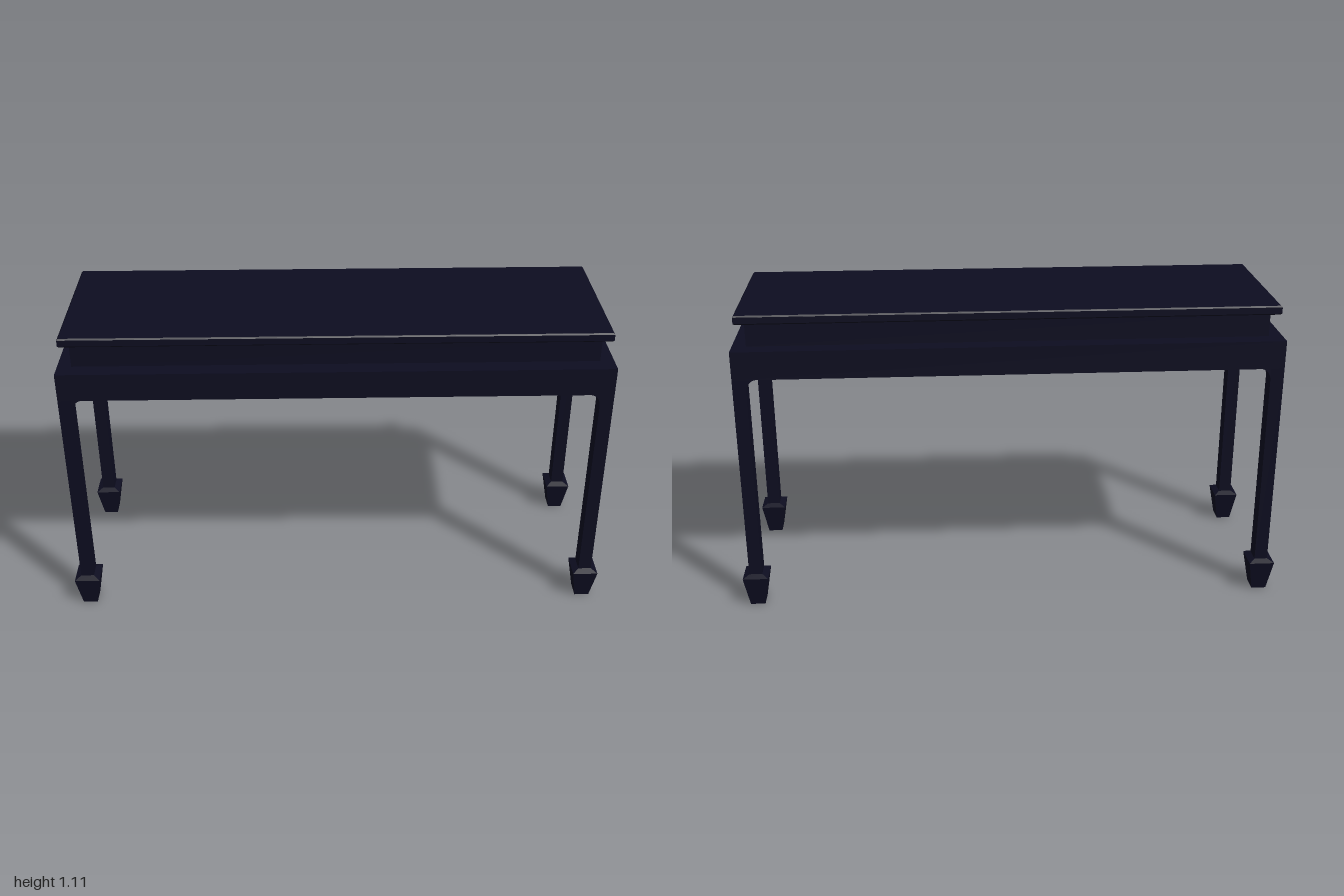
import * as THREE from 'three';

const lacquer = new THREE.MeshStandardMaterial({ color: 0x0d0d20 });
lacquer.name = 'dark navy lacquer';

function add(parent, name, geometry, x = 0, y = 0, z = 0) {
  const mesh = new THREE.Mesh(geometry, lacquer);
  mesh.name = name;
  mesh.position.set(x, y, z);
  parent.add(mesh);
  return mesh;
}

// Box spanning y0..y1
function block(parent, name, w, d, y0, y1, x = 0, z = 0) {
  return add(parent, name, new THREE.BoxGeometry(w, y1 - y0, d), x, (y0 + y1) / 2, z);
}

// Stacked rectangular sections [y, halfX, halfZ], capped at both ends, sharp edged
function loft(sections) {
  const pos = [];
  const rings = sections.map(([y, a, b]) => [[a, y, b], [a, y, -b], [-a, y, -b], [-a, y, b]]);
  const quad = (a, b, c, d) => pos.push(...a, ...b, ...c, ...a, ...c, ...d);
  for (let i = 0; i < rings.length - 1; i++) {
    for (let k = 0; k < 4; k++) {
      const n = (k + 1) % 4;
      quad(rings[i][k], rings[i][n], rings[i + 1][n], rings[i + 1][k]);
    }
  }
  const [b, t] = [rings[0], rings[rings.length - 1]];
  quad(b[3], b[2], b[1], b[0]);
  quad(t[0], t[1], t[2], t[3]);
  const g = new THREE.BufferGeometry();
  g.setAttribute('position', new THREE.Float32BufferAttribute(pos, 3));
  g.computeVertexNormals();
  return g;
}

// Concave corner filler: corner at the origin, reaching w along -x and h down
function spandrel(w, h, depth) {
  const s = new THREE.Shape();
  s.moveTo(0, 0);
  s.lineTo(-w, 0);
  s.absellipse(-w, -h, w, h, Math.PI / 2, 0, true);
  s.lineTo(0, 0);
  const g = new THREE.ExtrudeGeometry(s, { depth, bevelEnabled: false, curveSegments: 8 });
  return g.translate(0, 0, -depth / 2);
}

export function createModel() {
  const model = new THREE.Group();
  model.name = 'consoleTable';

  const legX = 0.952, legZ = 0.299, legW = 0.048, legD = 0.06;
  const apronBottom = 0.892, apronTop = 0.995;

  // Top slab with softened edges, recessed waist and solid apron
  add(model, 'tableTop', loft([
    [1.079, 0.957, 0.283], [1.084, 0.962, 0.288], [1.107, 0.962, 0.288], [1.112, 0.957, 0.283],
  ]));
  block(model, 'waist', 1.852, 0.536, apronTop, 1.079);
  block(model, 'apron', 2 * legX + legW, 2 * legZ + legD, apronBottom, apronTop);

  // Legs with flared feet and curved corners
  const foot = loft([
    [0, 0.027, 0.033], [0.115, 0.0465, 0.052], [0.125, legW / 2, legD / 2],
  ]);
  const longSpandrel = spandrel(0.036, 0.045, legD);
  const shortSpandrel = spandrel(0.03, 0.05, legW);
  for (const sx of [-1, 1]) {
    for (const sz of [-1, 1]) {
      const leg = new THREE.Group();
      leg.name = (sz > 0 ? 'front' : 'back') + (sx > 0 ? 'Left' : 'Right') + 'Leg';
      leg.position.set(sx * legX, 0, sz * legZ);
      block(leg, 'post', legW, legD, 0.12, apronBottom);
      add(leg, 'foot', foot);
      const a = add(leg, 'longCorner', longSpandrel, -sx * legW / 2, apronBottom, 0);
      a.rotation.y = sx > 0 ? Math.PI : 0;
      const b = add(leg, 'shortCorner', shortSpandrel, 0, apronBottom, -sz * legD / 2);
      b.rotation.y = sz > 0 ? Math.PI / 2 : -Math.PI / 2;
      // Turn each filler so its corner sits against the post
      a.rotation.y += Math.PI;
      b.rotation.y += Math.PI;
      model.add(leg);
    }
  }
  return model;
}
